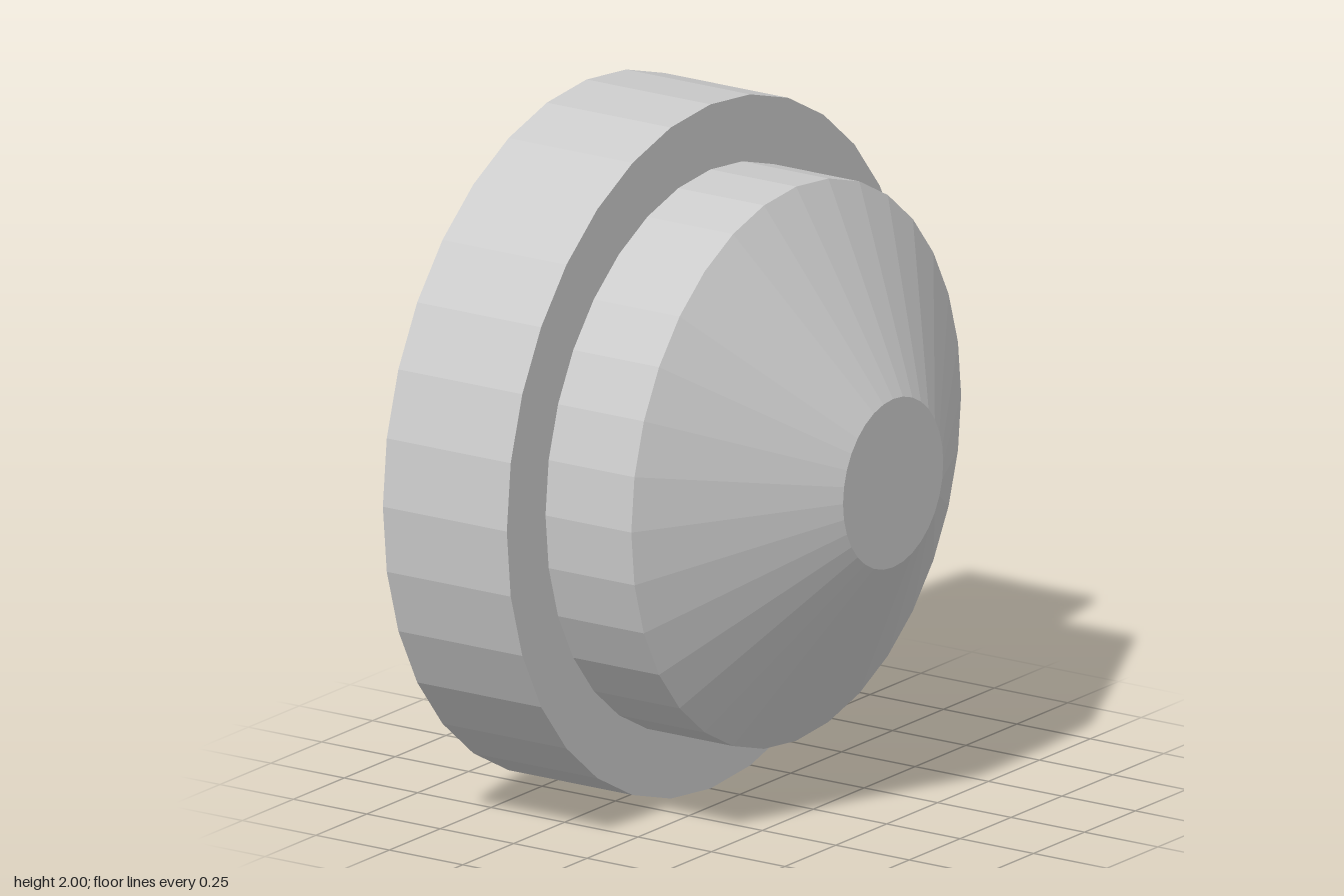
import * as THREE from 'three';

const SIDES = 32;
const material = new THREE.MeshStandardMaterial({ color: 0xcccccc, flatShading: true });

// Turned part: profile points are [radius, position along the axis]
function turned(name, profile) {
  const points = profile.map(([r, h]) => new THREE.Vector2(r, h));
  const mesh = new THREE.Mesh(new THREE.LatheGeometry(points, SIDES), material);
  mesh.name = name;
  return mesh;
}

export function createModel() {
  const model = new THREE.Group();
  model.name = 'steppedPlug';

  // Wide disc with a closed back and an annular shoulder
  model.add(turned('flange', [[0, -0.522], [1, -0.522], [1, -0.1], [0.81, -0.1]]));
  // Narrower straight section
  model.add(turned('collar', [[0.81, -0.1], [0.81, 0.192]]));
  // Tapered nose with a flat tip
  model.add(turned('nose', [[0.81, 0.192], [0.246, 0.522], [0, 0.522]]));

  // Lay the turning axis along +x and stand the rim on the ground
  model.children.forEach((part) => {
    part.rotation.z = -Math.PI / 2;
    part.position.y = 1;
  });
  return model;
}
